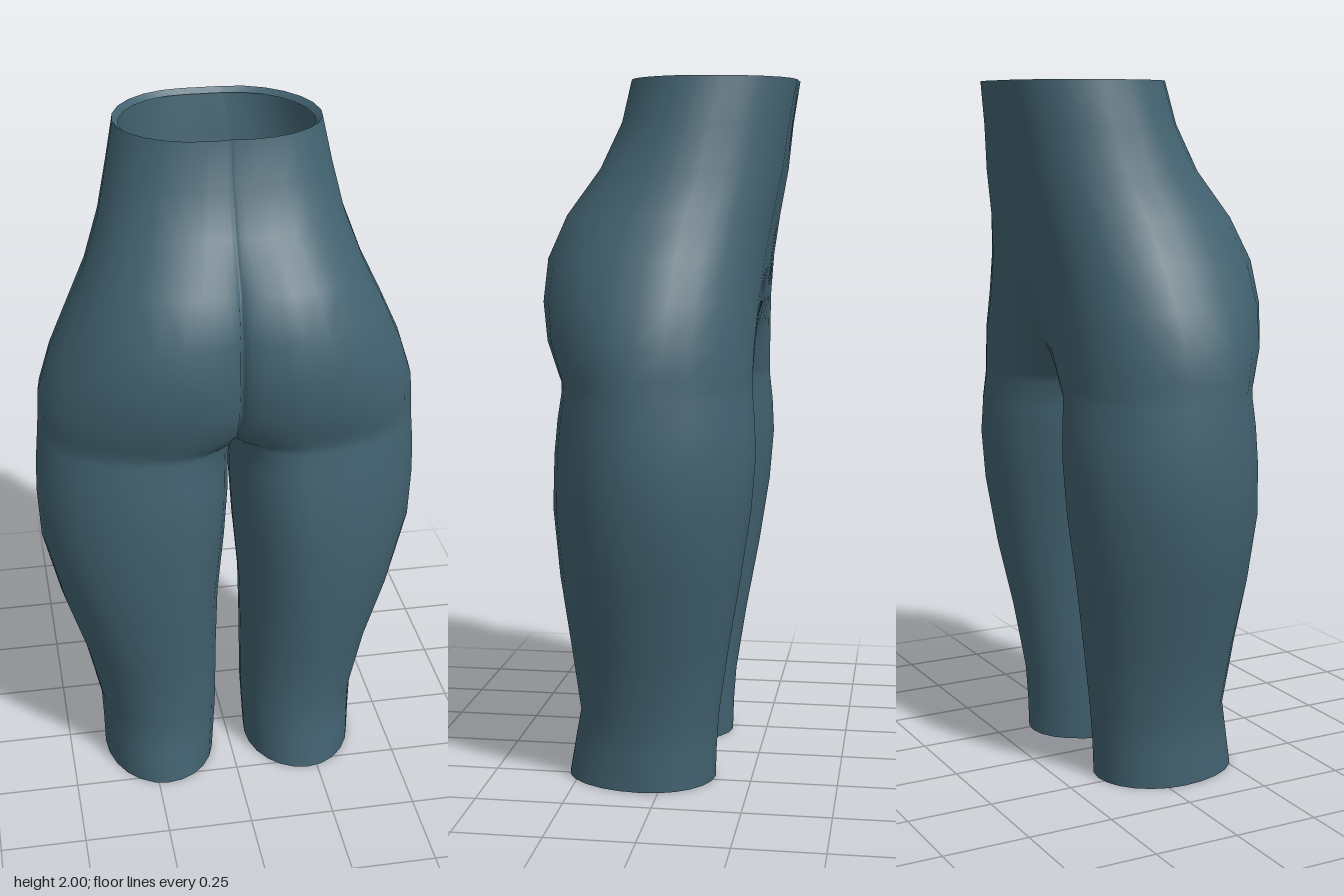
import * as THREE from 'three';
import { mergeVertices } from 'three/addons/utils/BufferGeometryUtils.js';

// Leg sections: y, outer x, front peak x/z, back peak x/z, inner x
const LEG = [
  [0.00, 0.390, 0.22, 0.285, 0.22, -0.145, 0.055],
  [0.10, 0.392, 0.22, 0.268, 0.22, -0.148, 0.048],
  [0.20, 0.396, 0.22, 0.250, 0.22, -0.155, 0.042],
  [0.40, 0.440, 0.23, 0.275, 0.24, -0.185, 0.040],
  [0.60, 0.505, 0.23, 0.302, 0.27, -0.220, 0.035],
  [0.80, 0.553, 0.22, 0.320, 0.28, -0.250, 0.016],
  [0.95, 0.560, 0.20, 0.318, 0.28, -0.262, 0.006],
  [1.05, 0.557, 0.20, 0.308, 0.27, -0.258, 0.004],
];
// Hip sections: y, outer x, front peak x/z, back peak x/z, inner x,
// z of widest point, z of front centre line, z of back centre line
const HIP = [
  [1.13, 0.550, 0.20, 0.295, 0.26, -0.250, 0, 0.05, 0.08, 0.08],
  [1.155, 0.548, 0.19, 0.297, 0.26, -0.250, 0, 0.05, 0.18, -0.03],
  [1.19, 0.545, 0.18, 0.312, 0.26, -0.250, 0, 0.05, 0.24, -0.12],
  [1.27, 0.540, 0.18, 0.340, 0.24, -0.252, 0, 0.04, 0.285, -0.215],
  [1.38, 0.505, 0.17, 0.355, 0.19, -0.258, 0, 0.03, 0.295, -0.255],
  [1.50, 0.450, 0.16, 0.345, 0.15, -0.270, 0, 0.02, 0.295, -0.275],
  [1.62, 0.392, 0.14, 0.295, 0.12, -0.290, 0, 0.00, 0.270, -0.292],
  [1.75, 0.345, 0.10, 0.205, 0.10, -0.315, 0, -0.04, 0.198, -0.317],
  [1.88, 0.315, 0.08, 0.145, 0.08, -0.330, 0, -0.07, 0.140, -0.333],
  [2.00, 0.290, 0.06, 0.120, 0.06, -0.350, 0, -0.09, 0.114, -0.350],
];
const STEPS = 6;

// One half's section as four quarter arcs: front inner, front outer, back outer, back inner
function section([y, X, xF, zF, xB, zB, xi, zc = 0.05, zfi = 0.08, zbi = 0.08]) {
  const belly = THREE.MathUtils.smoothstep(y, 1.13, 1.35);
  const pts = [];
  for (let q = 0; q < 4; q++) {
    for (let i = q ? 1 : 0; i <= STEPS; i++) {
      const t = i / STEPS, s = Math.sin(t * Math.PI / 2), c = Math.cos(t * Math.PI / 2);
      if (q === 0) pts.push([xi + (xF - xi) * (1 - c), y, zfi + (zF - zfi) * s]);
      if (q === 1) pts.push([xF + (X - xF) * s, y, zc + (zF - zc) * c]);
      if (q === 2) pts.push([xB + (X - xB) * c, y, zc + (zB - zc) * s]);
      if (q === 3) {
        // rounded inner thigh below, smooth belly above
        const u = 1 - t;
        const x = THREE.MathUtils.lerp(1 - s, u, belly);
        const z = THREE.MathUtils.lerp(c, u * u * (3 - 2 * u), belly);
        pts.push([xi + (xB - xi) * x, y, zbi + (zB - zbi) * z]);
      }
    }
  }
  return pts;
}

// Skin a stack of half sections and mirror it across x = 0
function loft(rings) {
  const pos = [], idx = [], n = rings[0].length;
  for (const side of [1, -1]) {
    const base = pos.length / 3;
    rings.forEach((ring) => ring.forEach(([x, y, z]) => pos.push(side * x, y, z)));
    for (let j = 0; j < rings.length - 1; j++) {
      for (let i = 0; i < n - 1; i++) {
        const a = base + j * n + i, b = a + 1, d = a + n, e = d + 1;
        if (side > 0) idx.push(a, b, e, a, e, d);
        else idx.push(a, e, b, a, d, e);
      }
    }
  }
  let geo = new THREE.BufferGeometry();
  geo.setAttribute('position', new THREE.Float32BufferAttribute(pos, 3));
  geo.setIndex(idx);
  geo = mergeVertices(geo, 1e-4);
  geo.computeVertexNormals();
  return geo;
}

// Copy of a section drawn in towards a centre, for the turned-in hems
const inset = (ring, cx, cz, k, dy) =>
  ring.map(([x, y, z]) => [cx + (x - cx) * k, y + dy, cz + (z - cz) * k]);

export function createModel() {
  const group = new THREE.Group();
  const fabric = new THREE.MeshStandardMaterial({ color: 0x426270, side: THREE.DoubleSide });
  fabric.name = 'slate blue fabric';
  const add = (name, geo) => {
    const mesh = new THREE.Mesh(geo, fabric);
    mesh.name = name;
    group.add(mesh);
  };

  // Legs and hips as one continuous skin
  const rings = [...LEG, ...HIP].map(section);
  add('leggings', loft(rings));

  // Narrow hems folded inside the openings
  const top = rings[rings.length - 1], bottom = rings[0];
  add('waistHem', loft([top, inset(top, 0, -0.11, 0.94, -0.015)]));
  add('legHems', loft([inset(bottom, 0.22, 0.07, 0.95, 0.012), bottom]));
  return group;
}
